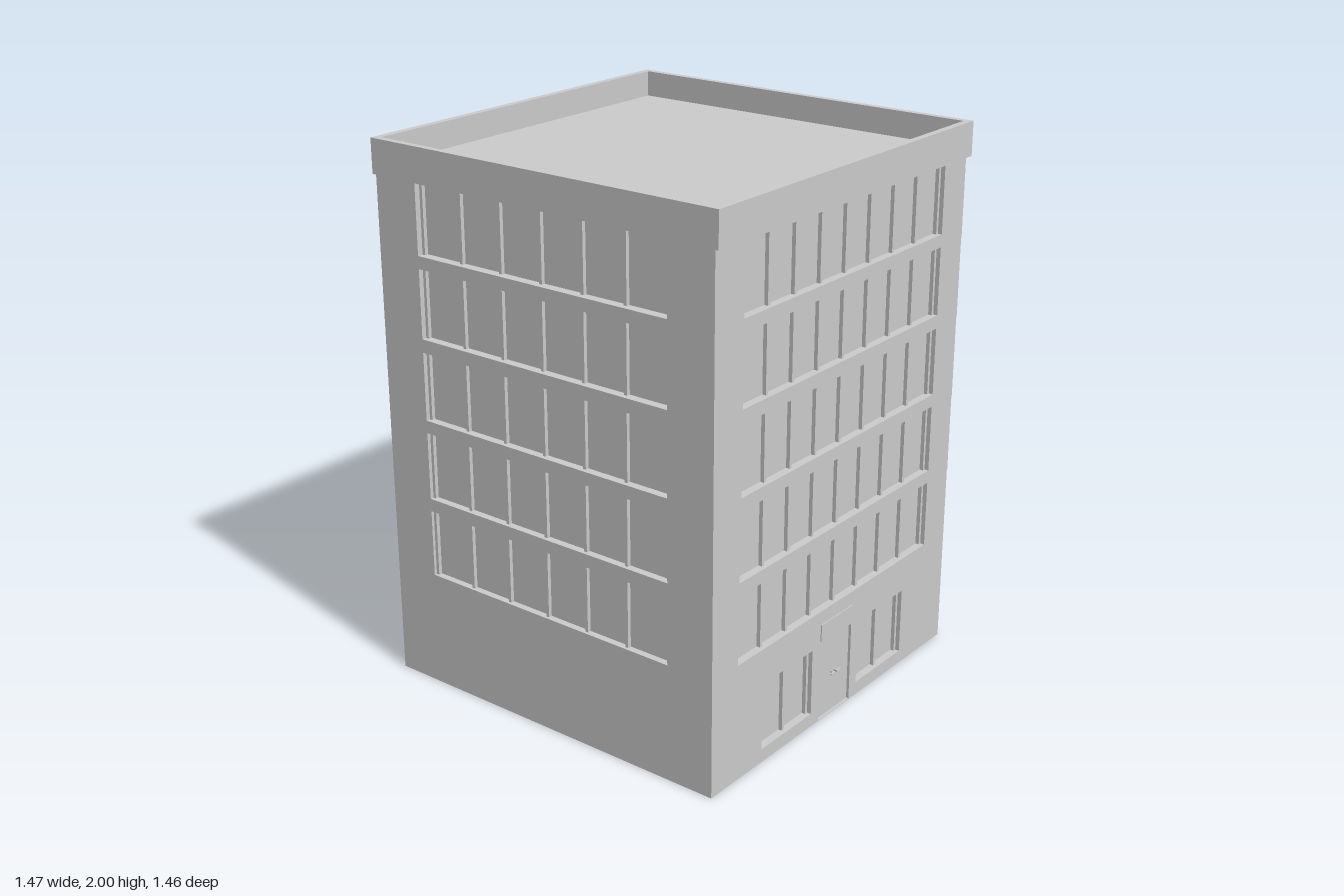
import * as THREE from 'three';

const mat = new THREE.MeshStandardMaterial({ color: 0xcccccc, flatShading: true, side: THREE.DoubleSide });

function mesh(name, geometry, x = 0, y = 0, z = 0) {
  const m = new THREE.Mesh(geometry, mat);
  m.name = name;
  m.position.set(x, y, z);
  return m;
}

function rect(Type, u0, u1, v0, v1) {
  const s = new Type();
  s.moveTo(u0, v0).lineTo(u1, v0).lineTo(u1, v1).lineTo(u0, v1).closePath();
  return s;
}

// Recess behind an opening: a box without its front, with thin mullions between panes
function opening(o) {
  const g = new THREE.Group();
  g.name = o.name;
  const w = o.u1 - o.u0, h = o.v1 - o.v0;
  const u = (o.u0 + o.u1) / 2, v = (o.v0 + o.v1) / 2;
  const box = new THREE.BoxGeometry(w, h, o.depth);
  const idx = Array.from(box.index.array);
  idx.splice(24, 6);
  box.setIndex(idx);
  g.add(mesh(o.name + 'Recess', box, u, v, -o.depth / 2));
  const bar = 0.012, thick = 0.014;
  for (let i = 0; o.panes && i <= o.panes; i++) {
    const x = o.u0 + bar / 2 + (w - bar) * i / o.panes;
    g.add(mesh('mullion', new THREE.BoxGeometry(bar, h, thick), x, v, -o.depth + thick / 2));
  }
  return g;
}

// Flat wall sheet facing +z with its openings cut out
function wall(name, u0, u1, v0, v1, openings) {
  const g = new THREE.Group();
  g.name = name;
  const shape = rect(THREE.Shape, u0, u1, v0, v1);
  for (const o of openings) {
    shape.holes.push(rect(THREE.Path, o.u0, o.u1, o.v0, o.v1));
    g.add(opening(o));
  }
  g.add(mesh(name + 'Sheet', new THREE.ShapeGeometry(shape)));
  return g;
}

export function createModel() {
  const model = new THREE.Group();
  model.name = 'officeBuilding';
  const LEFT = -0.73, Z = 0.715;
  const tops = [0, 0.685, 0.983, 1.28, 1.579, 1.875];

  // Five storeys; each one reaches slightly further to +x than the one below
  for (let i = 0; i < 5; i++) {
    const v0 = tops[i], v1 = tops[i + 1];
    const R = 0.709 + 0.00275 * i, c = -0.01 + 0.0025 * i;
    const row = (mid, half, panes, depth) => ({
      name: 'windowRow', u0: mid - half, u1: mid + half, v0: v1 - 0.252, v1: v1 - 0.002, panes, depth,
    });
    const storey = new THREE.Group();
    storey.name = 'storey' + (i + 1);

    const frontOpenings = [row(c, 0.58, 8, 0.03)];
    if (i === 0) {
      // Ground floor windows and entrance
      for (const x of [-0.302, 0.278]) {
        frontOpenings.push({ name: 'groundWindow', u0: x - 0.147, u1: x + 0.147, v0: 0.05, v1: 0.3, panes: 2, depth: 0.03 });
      }
      frontOpenings.push({ name: 'door', u0: -0.107, u1: 0.087, v0: 0.002, v1: 0.305, panes: 0, depth: 0.01 });
    }
    const front = wall('frontWall', LEFT, R, v0, v1, frontOpenings);
    front.position.z = Z;

    const back = wall('backWall', -R, -LEFT, v0, v1, [row(-c, 0.58, 8, 0.03)]);
    back.rotation.y = Math.PI;
    back.position.z = -Z;

    const left = wall('positiveSideWall', -Z, Z, v0, v1, [row(0, 0.533, 6, 0.03)]);
    left.rotation.y = Math.PI / 2;
    left.position.x = R;

    const right = wall('negativeSideWall', -Z, Z, v0, v1, [row(0, 0.533, 6, 0.025 + 0.0025 * i)]);
    right.rotation.y = -Math.PI / 2;
    right.position.x = LEFT;

    storey.add(front, back, left, right);
    model.add(storey);
  }

  // Plain panel above the door, and a pair of door handles
  model.add(mesh('doorPanel', new THREE.BoxGeometry(0.194, 0.065, 0.006), -0.01, 0.348, Z + 0.001));
  for (const s of [-1, 1]) {
    model.add(mesh('doorHandle', new THREE.BoxGeometry(0.022, 0.007, 0.006), -0.01 + s * 0.017, 0.156, Z + 0.003));
    model.add(mesh('handleStem', new THREE.BoxGeometry(0.006, 0.007, 0.012), -0.01 + s * 0.009, 0.156, Z - 0.005));
  }

  // Parapet ring and sunken roof
  const ring = rect(THREE.Shape, -0.733, 0.733, -0.729, 0.729);
  ring.holes.push(rect(THREE.Path, -0.708, 0.708, -0.703, 0.703));
  const parapet = mesh('parapet', new THREE.ExtrudeGeometry(ring, { depth: 0.125, bevelEnabled: false }), 0, 1.875, 0);
  parapet.rotation.x = -Math.PI / 2;
  const roof = mesh('roof', new THREE.PlaneGeometry(1.416, 1.406), 0, 1.905, 0);
  roof.rotation.x = -Math.PI / 2;
  model.add(parapet, roof);

  return model;
}
